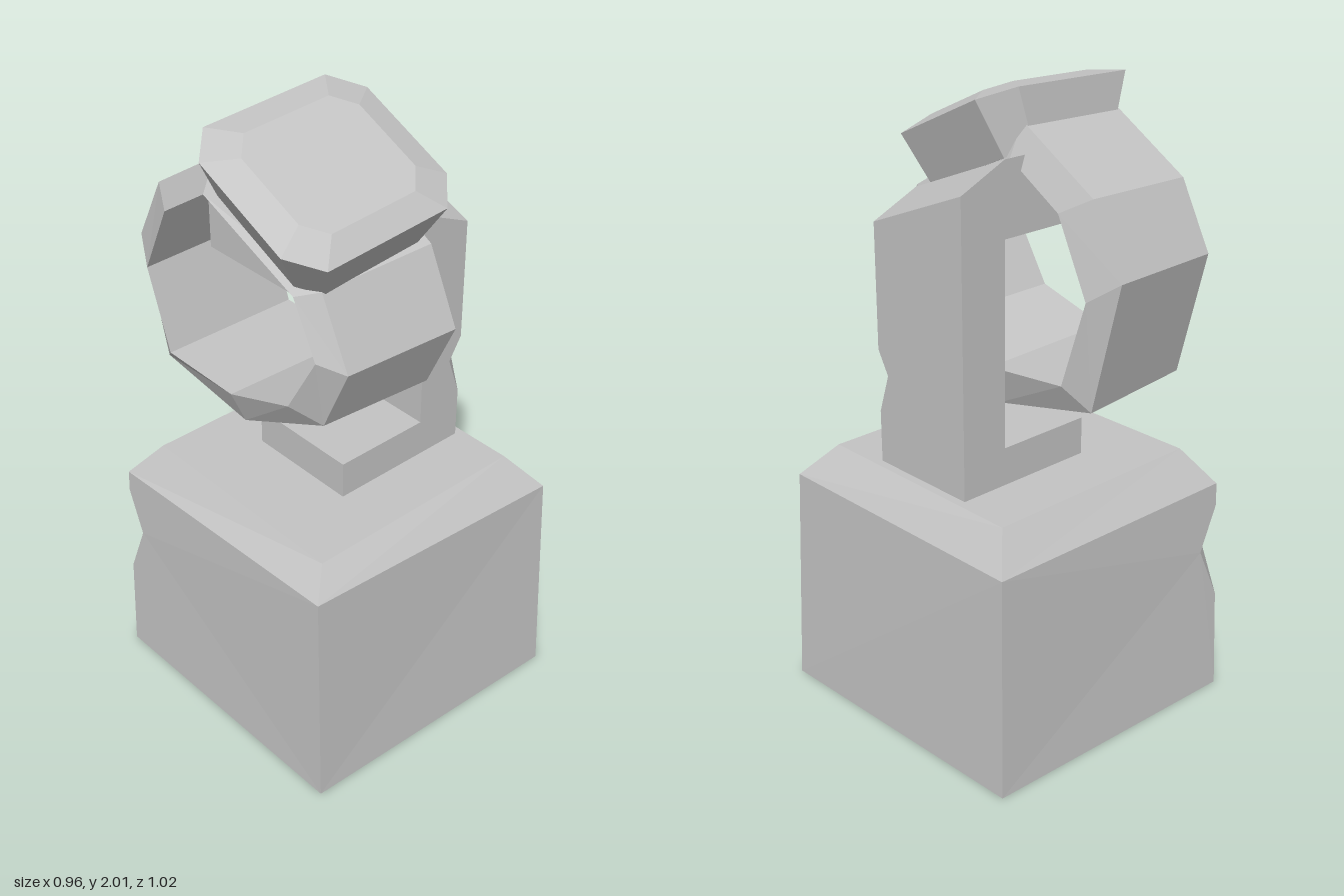
import * as THREE from 'three';

// Flat-faced solid: each face is a loop of points, fanned from its first corner
function solid(faces) {
  const p = [];
  for (const f of faces)
    for (let i = 1; i < f.length - 1; i++) p.push(...f[0], ...f[i], ...f[i + 1]);
  const g = new THREE.BufferGeometry();
  g.setAttribute('position', new THREE.Float32BufferAttribute(p, 3));
  g.computeVertexNormals();
  return g;
}

const lerp = (a, b, t) => a.map((v, i) => v + (b[i] - v) * t);

// Side quads between two loops listed counter-clockwise from above
const sides = (lo, hi) => lo.map((p, i) => {
  const j = (i + 1) % lo.length;
  return [p, lo[j], hi[j], hi[i]];
});

// Closed stack of loops, bottom to top
function stack(loops) {
  const faces = [[...loops[0]].reverse(), loops[loops.length - 1]];
  for (let i = 1; i < loops.length; i++) faces.push(...sides(loops[i - 1], loops[i]));
  return faces;
}

// Four-cornered block with a chip out of one upright edge
function chippedBlock(lo, hi, k, chip) {
  const prev = (k + 3) % 4, next = (k + 1) % 4;
  const edge = (i, t) => lerp(lo[i], hi[i], t);
  const T = edge(k, chip.top), B = edge(k, chip.bottom);
  const P = lerp(edge(k, chip.mid), edge(prev, chip.mid), chip.before);
  const Q = lerp(edge(k, chip.mid), edge(next, chip.mid), chip.after);
  const faces = stack([lo, hi]);
  faces[2 + k] = [Q, B, lo[k], lo[next], hi[next], hi[k], T];
  faces[2 + prev] = [P, T, hi[k], hi[prev], lo[prev], lo[k], B];
  faces.push([P, Q, T], [P, B, Q]);
  return faces;
}

// Corners: front left, front right, back right, back left (as seen from the front)
const rect = (x0, x1, z0, z1, y) =>
  [[x0, z1], [x1, z1], [x1, z0], [x0, z0]].map(([x, z]) => [x, y(x, z), z]);

export function createModel() {
  const group = new THREE.Group();
  const stone = new THREE.MeshStandardMaterial({ color: 0xc4c4c4, flatShading: true });
  stone.name = 'paleGrey';
  const add = (name, faces) => {
    const m = new THREE.Mesh(solid(faces), stone);
    m.name = name;
    group.add(m);
  };

  // Uneven pedestal with a chipped back corner
  const foot = [[-0.465, 0, 0.467], [0.477, 0, 0.51], [0.443, 0, -0.44], [-0.48, 0, -0.478]];
  const shoulder = [[-0.465, 0.777, 0.46], [0.455, 0.737, 0.485], [0.443, 0.735, -0.44], [-0.465, 0.73, -0.45]];
  const deck = rect(-0.387, 0.367, -0.36, 0.39, () => 0.845);
  const block = chippedBlock(foot, shoulder, 3, { top: 0.9, bottom: 0.46, mid: 0.7, before: 0.08, after: 0.07 });
  block.splice(1, 1);
  add('pedestal', block);
  add('pedestalBevel', [...sides(shoulder, deck), deck]);

  // Bracket: foot plate, chipped post and the arm that holds the ring
  const z0 = -0.172, z1 = 0.205;
  add('bracketFoot', stack([
    rect(-0.14, 0.18, z0, z1, () => 0.845), rect(-0.14, 0.18, z0, z1, () => 0.965)]));
  const slope = (x, z) => 1.602 + (0.34 - x) * 0.45 + (z1 - z) * 0.4;
  add('bracketPost', chippedBlock(
    rect(0.18, 0.34, z0, z1, () => 0.845), rect(0.18, 0.34, z0, z1, slope), 1,
    { top: 0.483, bottom: 0.22, mid: 0.377, before: 0.28, after: 0.11 }));
  add('bracketArm', stack([
    rect(-0.3, 0.18, z0, z1, () => 1.6), rect(-0.3, 0.18, z0, z1, (x, z) => slope(0.18, z))]));

  // Ring band: outer and inner outlines as [z, y], from under the plate front downwards
  const outer = [[0.29, 1.65], [0.393, 1.42], [0.295, 1.2], [-0.05, 1.045],
    [-0.41, 1.12], [-0.507, 1.525], [-0.4, 1.74], [-0.14, 1.91]];
  const inner = [[0.23, 1.63], [0.315, 1.45], [0.2, 1.25], [-0.05, 1.17],
    [-0.33, 1.19], [-0.415, 1.46], [-0.31, 1.69], [-0.13, 1.81]];
  const at = ([z, y], x, s) =>
    [x + 0.05 * (z - 0.39), 1.47 + (y - 1.47) * s, -0.05 + (z + 0.05) * s];
  const section = outer.map((o, i) => [
    at(o, -0.275, 0.95), at(o, 0.11, 1), at(inner[i], 0.148, 1), at(inner[i], -0.325, 0.96)]);
  const band = [];
  section.forEach((a, i) => {
    const b = section[(i + 1) % section.length];
    for (let j = 0; j < 4; j++) {
      const k = (j + 1) % 4;
      band.push([a[j], b[j], b[k], a[k]]);
    }
  });
  add('ringBand', band);

  // Tilted eight-sided plate on top of the ring
  const octagon = (x0, x1, za, zb, c, y) =>
    [[x0 + c, zb], [x1 - c, zb], [x1, zb - c], [x1, za + c],
      [x1 - c, za], [x0 + c, za], [x0, za + c], [x0, zb - c]]
      .map(([x, z]) => {
        const zz = z - 0.04 * (x + 0.12);
        return [x, y - 0.46 * zz + 0.02 * (x + 0.12), zz];
      });
  add('ringPlate', stack([
    octagon(-0.325, 0.125, -0.16, 0.265, 0.06, 1.752),
    octagon(-0.425, 0.188, -0.135, 0.355, 0.085, 1.935),
    octagon(-0.338, 0.09, -0.04, 0.303, 0.06, 1.972)]));

  return group;
}
